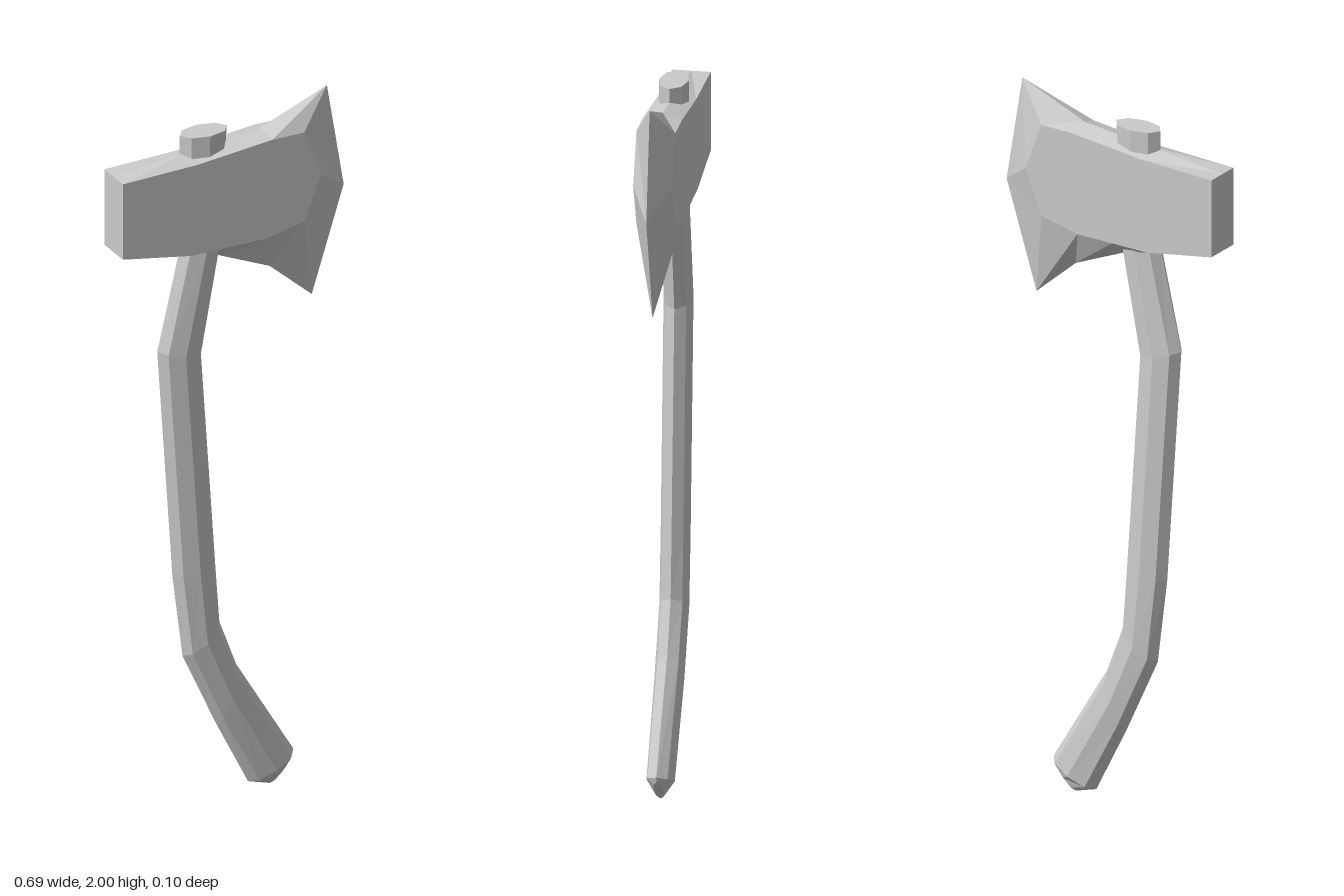
import * as THREE from 'three';

const material = new THREE.MeshStandardMaterial({ color: 0xcccccc, flatShading: true });

// Skin a solid through rings of equal point count, closing both ends with fans.
// Each ring runs clockwise when seen from outside the first end.
function loft(name, rings) {
  const positions = [];
  const tri = (...points) => points.forEach((p) => positions.push(p.x, p.y, p.z));
  const centre = (ring) =>
    ring.reduce((sum, p) => sum.add(p), new THREE.Vector3()).divideScalar(ring.length);
  const first = rings[0];
  const last = rings[rings.length - 1];
  const firstCentre = centre(first);
  const lastCentre = centre(last);
  const n = first.length;
  for (let j = 0; j < n; j++) {
    const k = (j + 1) % n;
    for (let i = 0; i < rings.length - 1; i++) {
      const [r, s] = [rings[i], rings[i + 1]];
      tri(r[j], r[k], s[k]);
      tri(r[j], s[k], s[j]);
    }
    tri(firstCentre, first[k], first[j]);
    tri(lastCentre, last[j], last[k]);
  }
  const geometry = new THREE.BufferGeometry();
  geometry.setAttribute('position', new THREE.Float32BufferAttribute(positions, 3));
  geometry.computeVertexNormals();
  const mesh = new THREE.Mesh(geometry, material);
  mesh.name = name;
  return mesh;
}

// Axe head: flat cheeks on both sides of a central ridge that flares into the edge
function createHead() {
  const cheek = [
    [-0.345, 1.875], [-0.12, 1.882], [0.1, 1.905], [0.195, 1.905], [0.245, 1.77],
    [0.195, 1.645], [0.08, 1.62], [-0.03, 1.62], [-0.14, 1.62], [-0.345, 1.655],
  ];
  const ridge = [
    [-0.345, 1.875], [-0.12, 1.9], [0.09, 1.92], [0.29, 2.0], [0.34, 1.7],
    [0.245, 1.4], [0.12, 1.51], [-0.03, 1.575], [-0.14, 1.615], [-0.345, 1.655],
  ];
  const ring = (outline, z) => outline.map(([x, y]) => new THREE.Vector3(x, y, z));
  return loft('axeHead', [ring(cheek, 0.052), ring(ridge, 0), ring(cheek, -0.052)]);
}

// Curved eight-sided handle, from the stub above the head down to the bevelled butt
function createHandle() {
  // back x, back y, front x, front y, half thickness
  const sections = [
    [-0.148, 1.95, -0.008, 1.95, 0.04],
    [-0.148, 1.62, -0.03, 1.6, 0.04],
    [-0.215, 1.335, -0.085, 1.3, 0.04],
    [-0.17, 0.67, -0.042, 0.67, 0.04],
    [-0.14, 0.43, -0.03, 0.505, 0.04],
    [-0.04, 0.21, 0.02, 0.37, 0.04],
    [0.055, 0.02, 0.19, 0.085, 0.038],
    [0.12, 0.0, 0.185, 0.07, 0.014],
  ];
  const rings = sections.map(([bx, by, fx, fy, half]) =>
    Array.from({ length: 8 }, (_, i) => {
      const angle = (i / 8) * Math.PI * 2;
      const t = (1 + Math.cos(angle)) / 2;
      return new THREE.Vector3(bx + (fx - bx) * t, by + (fy - by) * t, half * Math.sin(angle));
    })
  );
  return loft('handle', rings);
}

export function createModel() {
  const model = new THREE.Group();
  model.name = 'axe';
  model.add(createHead(), createHandle());
  return model;
}
